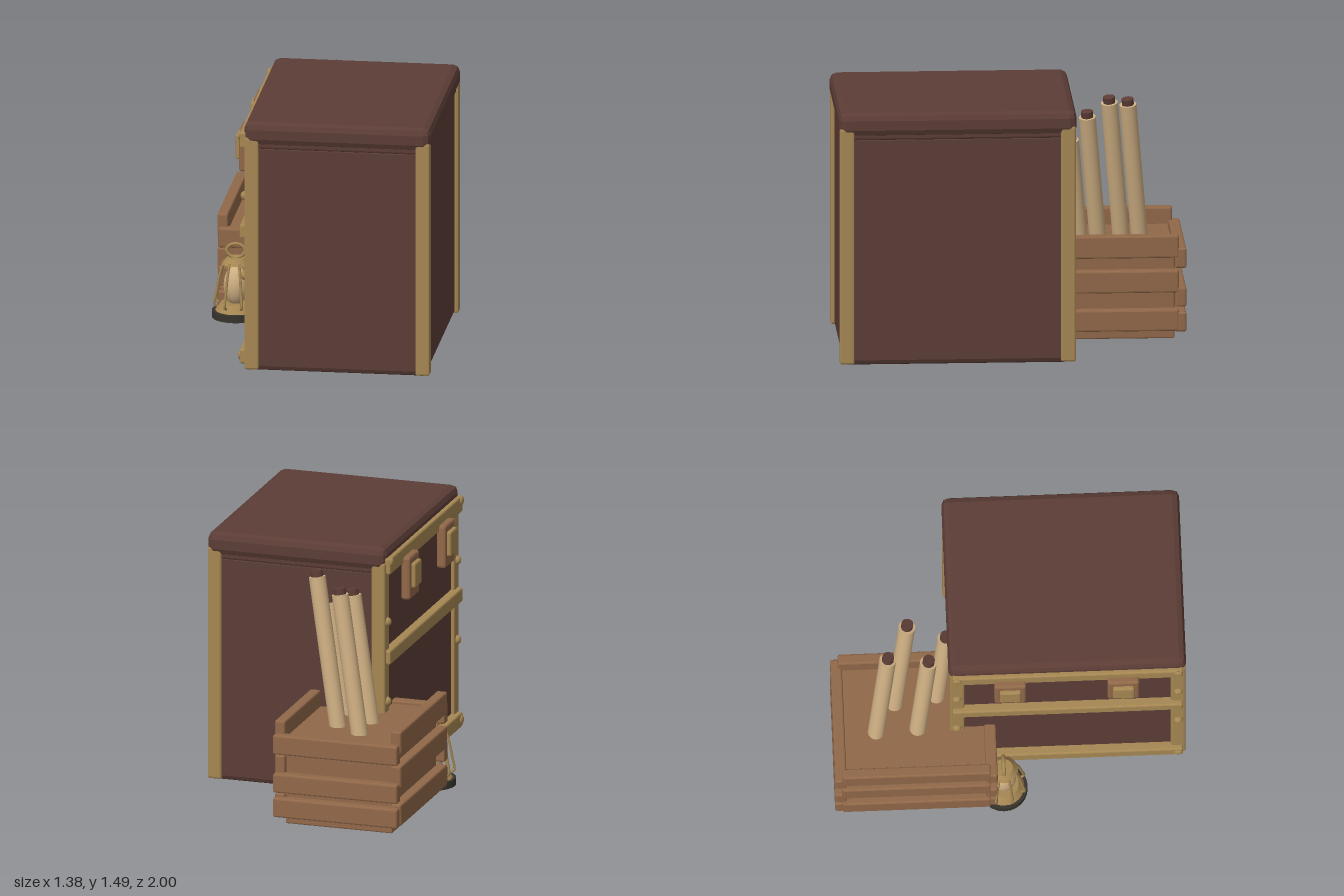
import * as THREE from 'three';
import { RoundedBoxGeometry } from 'three/addons/geometries/RoundedBoxGeometry.js';

const mat = (name, color, side = THREE.FrontSide) => {
  const m = new THREE.MeshStandardMaterial({ color, side });
  m.name = name;
  return m;
};

export function createModel() {
  const leather = mat('dark leather', 0x5c3d36);
  const brass = mat('aged brass', 0xa68753);
  const wood = mat('crate wood', 0x916849);
  const paper = mat('parchment', 0xcdae82);
  const iron = mat('dark iron', 0x38342d);

  const model = new THREE.Group();
  model.name = 'trunkWithCrateAndLantern';

  const group = (name) => {
    const g = new THREE.Group();
    g.name = name;
    model.add(g);
    return g;
  };
  const add = (parent, name, geometry, material, x = 0, y = 0, z = 0) => {
    const mesh = new THREE.Mesh(geometry, material);
    mesh.name = name;
    mesh.position.set(x, y, z);
    parent.add(mesh);
    return mesh;
  };
  // Chamfered box given by its [min, max] extents
  const block = (parent, name, material, [x0, x1], [y0, y1], [z0, z1], bevel = 0.01) => {
    const g = new RoundedBoxGeometry(x1 - x0, y1 - y0, z1 - z0, 1, bevel);
    g.computeVertexNormals();
    return add(parent, name, g, material, (x0 + x1) / 2, (y0 + y1) / 2, (z0 + z1) / 2);
  };

  // Trunk body and lid
  const trunk = group('trunk');
  block(trunk, 'trunkBody', leather, [-0.35, 0.663], [0.025, 1.36], [-0.322, 0.973], 0.03);
  block(trunk, 'lidRim', leather, [-0.36, 0.672], [1.335, 1.42], [-0.332, 0.982], 0.012);
  block(trunk, 'trunkLid', leather, [-0.375, 0.688], [1.355, 1.49], [-0.347, 0.997], 0.04);

  // Brass corner posts
  for (const x of [[-0.372, -0.29], [0.603, 0.685]])
    for (const z of [[-0.342, -0.257], [0.91, 0.994]])
      block(trunk, 'cornerPost', brass, x, [0.035, 1.405], z, 0.012);

  // Horizontal straps, studs and latches on the -x side
  for (const [y0, y1] of [[0.065, 0.15], [0.803, 0.885], [1.335, 1.43]])
    block(trunk, 'strap', brass, [-0.4, -0.34], [y0, y1], [-0.325, 0.978], 0.01);
  const studGeo = new THREE.SphereGeometry(0.027, 12, 8);
  for (const z of [-0.3, 0.952])
    for (const [y, x] of [[0.11, -0.4], [0.58, -0.373], [1.05, -0.373], [1.405, -0.4]])
      add(trunk, 'stud', studGeo, brass, x, y, z).scale.x = x < -0.39 ? 0.45 : 0.9;
  for (const z of [0.0, 0.64]) {
    const latch = new THREE.Group();
    latch.name = 'latch';
    latch.position.z = z;
    trunk.add(latch);
    block(latch, 'latchPlate', wood, [-0.437, -0.383], [1.12, 1.372], [-0.09, 0.09], 0.014);
    block(latch, 'latchBuckle', brass, [-0.46, -0.42], [1.185, 1.33], [-0.06, 0.06], 0.01);
  }

  // Slatted crate
  const crate = group('crate');
  block(crate, 'crateBody', wood, [-0.612, 0.022], [0.005, 0.52], [-0.935, -0.14], 0.008);
  for (const y of [[0.06, 0.185], [0.283, 0.412], [0.485, 0.615]])
    for (const x of [[-0.672, -0.61], [0.018, 0.08]])
      block(crate, 'sideSlat', wood, x, y, [-0.957, -0.12], 0.01);
  for (const y of [[0.055, 0.168], [0.2, 0.312], [0.425, 0.54]])
    for (const z of [[-1, -0.935], [-0.145, -0.08]])
      block(crate, 'endSlat', wood, [-0.662, 0.078], y, z, 0.01);

  // Rolled scrolls leaning out of the crate, by top centre
  const scrolls = group('scrolls');
  const lean = new THREE.Vector3(0.175, 1, 0.09).normalize();
  const up = new THREE.Vector3(0, 1, 0);
  for (const [x, y, z] of [[-0.22, 1.31, -0.685], [-0.045, 1.365, -0.57],
    [-0.22, 1.24, -0.455], [-0.045, 1.15, -0.35]]) {
    const scroll = new THREE.Group();
    scroll.name = 'scroll';
    scroll.position.set(x, y, z);
    scroll.quaternion.setFromUnitVectors(up, lean);
    scrolls.add(scroll);
    const length = y - 0.42;
    add(scroll, 'scrollPaper', new THREE.CylinderGeometry(0.048, 0.048, length, 20), paper, 0, -length / 2, 0);
    add(scroll, 'scrollCore', new THREE.CylinderGeometry(0.034, 0.034, 0.05, 14), leather, 0, 0.01, 0);
  }

  // Lantern
  const lantern = group('lantern');
  lantern.position.set(-0.555, 0, -0.043);
  add(lantern, 'lanternFoot', new THREE.CylinderGeometry(0.136, 0.136, 0.042, 24), iron, 0, 0.056, 0);
  add(lantern, 'lanternBase', new THREE.CylinderGeometry(0.085, 0.118, 0.045, 24), brass, 0, 0.098, 0);
  add(lantern, 'lanternGlobe', new THREE.SphereGeometry(0.07, 20, 14), paper, 0, 0.22, 0).scale.y = 1.65;
  add(lantern, 'lanternCap', new THREE.CylinderGeometry(0.052, 0.082, 0.035, 20), brass, 0, 0.367, 0);
  add(lantern, 'lanternRing', new THREE.TorusGeometry(0.05, 0.011, 8, 24), brass, 0, 0.425, 0).scale.set(1.03, 0.8, 1);
  const wire = new THREE.TubeGeometry(new THREE.CatmullRomCurve3([
    new THREE.Vector3(0.11, 0.105, 0), new THREE.Vector3(0.125, 0.115, 0), new THREE.Vector3(0.112, 0.2, 0),
    new THREE.Vector3(0.092, 0.3, 0), new THREE.Vector3(0.07, 0.362, 0),
  ]), 16, 0.008, 6);
  for (let i = 0; i < 8; i++)
    add(lantern, 'cageWire', wire, brass).rotation.y = ((i + 0.5) / 8) * Math.PI * 2;

  return model;
}
